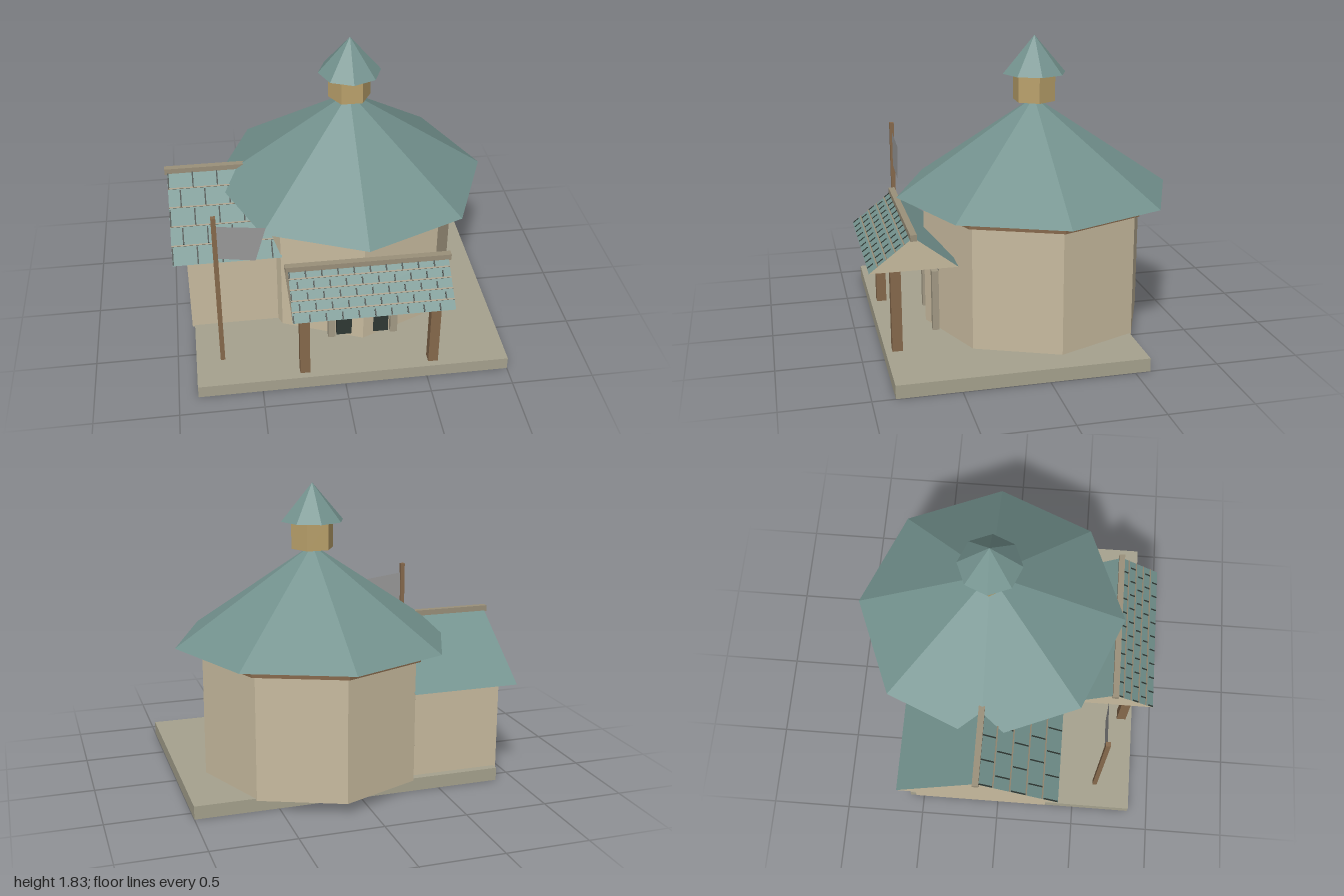
import * as THREE from 'three';

const mat = (color, extra = {}) => new THREE.MeshStandardMaterial({ color, flatShading: true, ...extra });
const stone = mat(0xa6a28e), wall = mat(0xc8bb9f), teal = mat(0x73928e), wood = mat(0x86694c);
const brass = mat(0xbba26c), cap = mat(0x9a907a), dark = mat(0x2f3833), frame = mat(0xa39a85);
const cloth = mat(0x999999, { side: THREE.DoubleSide });

export function createModel() {
  const model = new THREE.Group();
  const add = (name, geometry, material, parent = model) => {
    const mesh = new THREE.Mesh(geometry, material);
    mesh.name = name;
    parent.add(mesh);
    return mesh;
  };
  // Box given by its min and max on each axis
  const block = (name, material, x0, x1, y0, y1, z0, z1, parent) => {
    const mesh = add(name, new THREE.BoxGeometry(x1 - x0, y1 - y0, z1 - z0), material, parent);
    mesh.position.set((x0 + x1) / 2, (y0 + y1) / 2, (z0 + z1) / 2);
    return mesh;
  };

  block('baseSlab', stone, -0.885, 1, 0, 0.08, -0.59, 0.87);

  // Octagonal hall, with a corner facing the front
  const tower = new THREE.Group();
  tower.name = 'octagonalHall';
  tower.position.set(0.152, 0, -0.115);
  model.add(tower);
  const ring = (name, material, rTop, rBottom, y0, y1, sides = 8) => {
    const mesh = add(name, new THREE.CylinderGeometry(rTop, rBottom, y1 - y0, sides), material, tower);
    mesh.position.y = (y0 + y1) / 2;
    return mesh;
  };
  ring('hallWalls', wall, 0.685, 0.685, 0.07, 0.82);
  ring('eaveTrim', wood, 0.715, 0.715, 0.82, 0.88);
  ring('hallRoof', teal, 0, 0.846, 0.88, 1.455);
  ring('lantern', brass, 0.13, 0.13, 1.435, 1.6, 6).rotation.y = Math.PI / 6;
  ring('lanternRoof', teal, 0, 0.192, 1.6, 1.825);

  // Gabled roof along x, with a ridge cap and tile courses on the front slope
  function gableRoof(name, o) {
    const roof = new THREE.Group();
    roof.name = name;
    model.add(roof);
    const h = o.yTop - o.y0, length = o.x1 - o.x0;
    const tri = new THREE.Shape([[-o.half, 0], [o.half, 0], [0, h]].map(p => new THREE.Vector2(...p)));
    const prism = new THREE.ExtrudeGeometry(tri, { depth: length, bevelEnabled: false });
    prism.rotateY(Math.PI / 2);
    add('gable', prism, [wall, teal], roof).position.set(o.x0, o.y0, o.z);
    block('ridgeCap', cap, o.x0 - 0.015, o.x1 + o.capOver, o.yTop - 0.018, o.yTop + 0.02,
      o.z - 0.019, o.z + 0.019, roof);

    const slope = new THREE.Group();
    slope.name = 'tileCourses';
    slope.position.set(0, o.yTop, o.z);
    slope.rotation.x = Math.atan2(h, o.half);
    roof.add(slope);
    const step = Math.hypot(h, o.half) / 5;
    for (let row = 0; row < 5; row++) {
      const s = row * step;
      if (row) block('courseLine', cap, o.x0, o.x1, 0, 0.005, s - 0.004, s + 0.004, slope);
      for (let x = o.x0 + (row % 2 ? o.tile / 2 : 0.005); x < o.x1; x += o.tile) {
        block('tileJoint', dark, x - 0.004, x + 0.004, -0.001, 0.004,
          s + step * o.jointStart, s + step * 0.95, slope);
      }
    }
  }

  // Side wing
  block('wingWalls', wall, -0.9, -0.2, 0.07, 0.63, -0.545, 0.315);
  gableRoof('wingRoof', { x0: -0.985, x1: -0.325, y0: 0.62, yTop: 0.98, z: -0.118, half: 0.503,
    tile: 0.15, jointStart: 0.1, capOver: 0 });

  // Entrance porch
  gableRoof('porchRoof', { x0: -0.32, x1: 0.622, y0: 0.588, yTop: 0.783, z: 0.7, half: 0.255,
    tile: 0.0942, jointStart: 0.3, capOver: 0.015 });
  for (const x of [-0.24, 0.542]) block('porchPost', wood, x - 0.03, x + 0.03, 0.08, 0.61, 0.77, 0.83);

  // Pointed doorway, split by the hall's front corner
  const arch = new THREE.Shape([[-0.162, 0.1], [0.162, 0.1], [0.162, 0.465], [0, 0.71], [-0.162, 0.465]]
    .map(p => new THREE.Vector2(...p)));
  add('doorway', new THREE.ExtrudeGeometry(arch, { depth: 0.03, bevelEnabled: false }), dark)
    .position.set(0.152, 0, 0.512);
  for (const side of [-1, 1]) {
    const x = 0.152 + side * 0.195;
    block('doorJamb', frame, x - 0.022, x + 0.022, 0.1, 0.475, 0.52, 0.56);
  }

  // Flagpole and flag
  block('flagpole', wood, -0.739, -0.711, 0, 1.14, 0.626, 0.654);
  const flag = new THREE.Shape([[-0.712, 0.85], [-0.498, 0.815], [-0.433, 1.04], [-0.712, 1.075]]
    .map(p => new THREE.Vector2(...p)));
  add('flag', new THREE.ShapeGeometry(flag), cloth).position.z = 0.64;

  return model;
}
